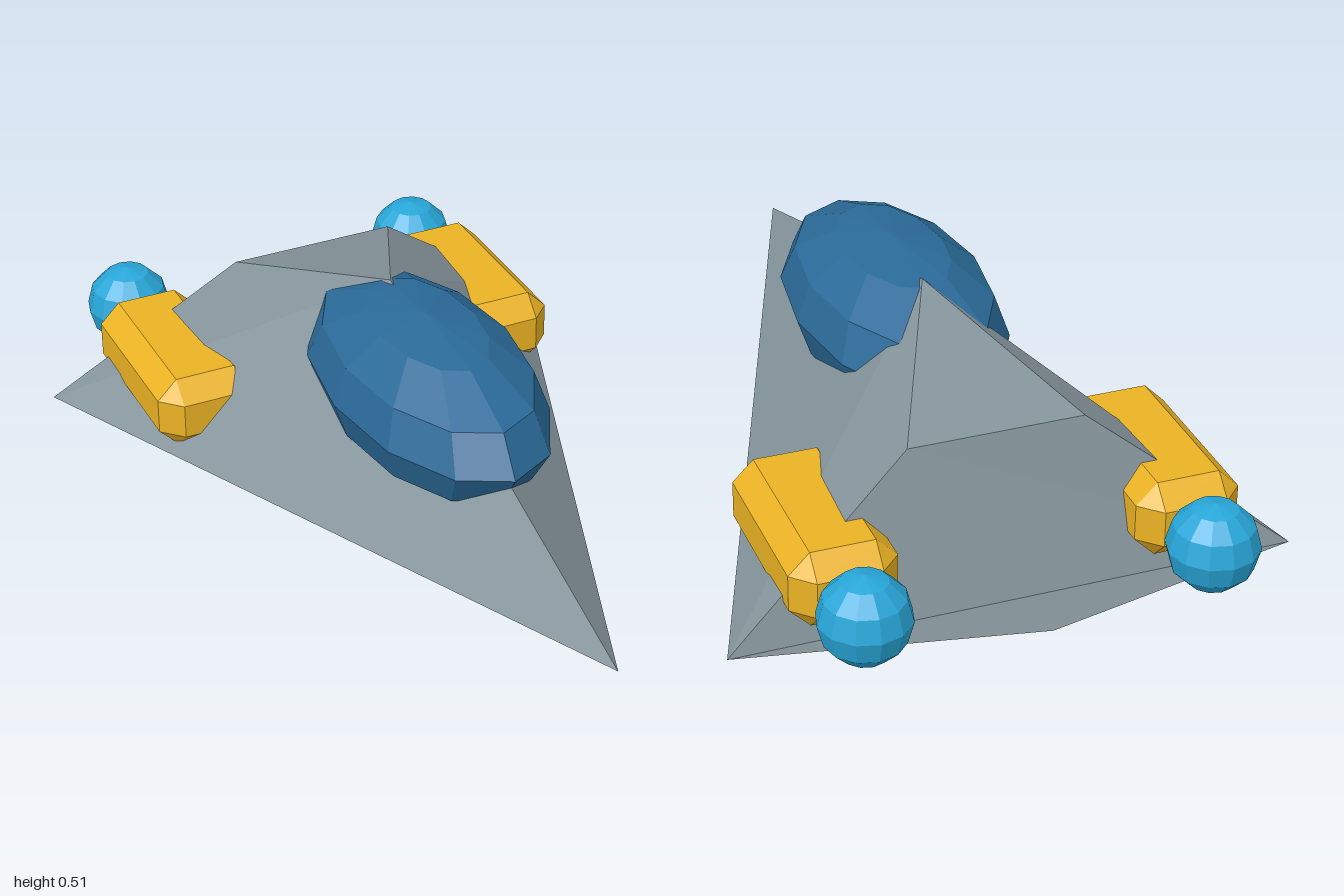
import * as THREE from 'three';
import { ConvexGeometry } from 'three/addons/geometries/ConvexGeometry.js';

const mat = (color, extra = {}) =>
  new THREE.MeshStandardMaterial({ color, flatShading: true, ...extra });

function addMesh(parent, name, geometry, material, x = 0, y = 0, z = 0) {
  const mesh = new THREE.Mesh(geometry, material);
  mesh.name = name;
  mesh.position.set(x, y, z);
  parent.add(mesh);
  return mesh;
}

// Thin-walled wedge hull, open underneath
function hullGeometry() {
  const nose = [0, 0.14, 1], peak = [0, 0.5, -0.15], tail = [0, 0.05, -0.96];
  const tip = (s) => [s * 0.67, 0, -0.755];
  const deck = (s) => [s * 0.21, 0.355, -0.62];
  const L = 1, R = -1;
  const faces = [
    [nose, tip(L), peak], [peak, tip(L), deck(L)],      // left flank
    [nose, peak, tip(R)], [peak, deck(R), tip(R)],      // right flank
    [peak, deck(L), deck(R)],                           // sloping rear deck
    [deck(L), tip(L), tip(R)], [deck(L), tip(R), deck(R)], // back wall
    [tip(L), tail, tip(R)],                             // tail flap
  ];
  const geo = new THREE.BufferGeometry();
  geo.setAttribute('position', new THREE.Float32BufferAttribute(faces.flat(2), 3));
  geo.computeVertexNormals();
  return geo;
}

// Box with chamfered edges and corners
function chamferedBox(hx, hy, hz) {
  const ax = hx - 0.05, ay = hy - 0.05, az = hz - 0.05;
  const points = [];
  for (const i of [-1, 1]) for (const j of [-1, 1]) for (const k of [-1, 1]) {
    points.push(
      new THREE.Vector3(i * hx, j * ay, k * az),
      new THREE.Vector3(i * ax, j * hy, k * az),
      new THREE.Vector3(i * ax, j * ay, k * hz));
  }
  return new ConvexGeometry(points);
}

export function createModel() {
  const model = new THREE.Group();
  model.name = 'spacecraft';

  addMesh(model, 'hull', hullGeometry(), mat(0x84939a, { side: THREE.DoubleSide }));

  // Canopy: stretched faceted ball sunk into the ridge
  const canopy = addMesh(model, 'canopy', new THREE.SphereGeometry(1, 12, 6),
    mat(0x2a6a98), 0, 0.328, 0.05);
  canopy.scale.set(0.24, 0.187, 0.46);

  // Engine pod and exhaust ball on each side
  const podGeo = chamferedBox(0.125, 0.094, 0.25);
  const ballGeo = new THREE.SphereGeometry(0.107, 12, 6);
  const podMat = mat(0xebb324), ballMat = mat(0x28a6d8);
  for (const [side, s] of [['left', 1], ['right', -1]]) {
    addMesh(model, side + 'Engine', podGeo, podMat, s * 0.405, 0.138, -0.555);
    addMesh(model, side + 'Exhaust', ballGeo, ballMat, s * 0.405, 0.138, -0.893);
  }
  return model;
}
